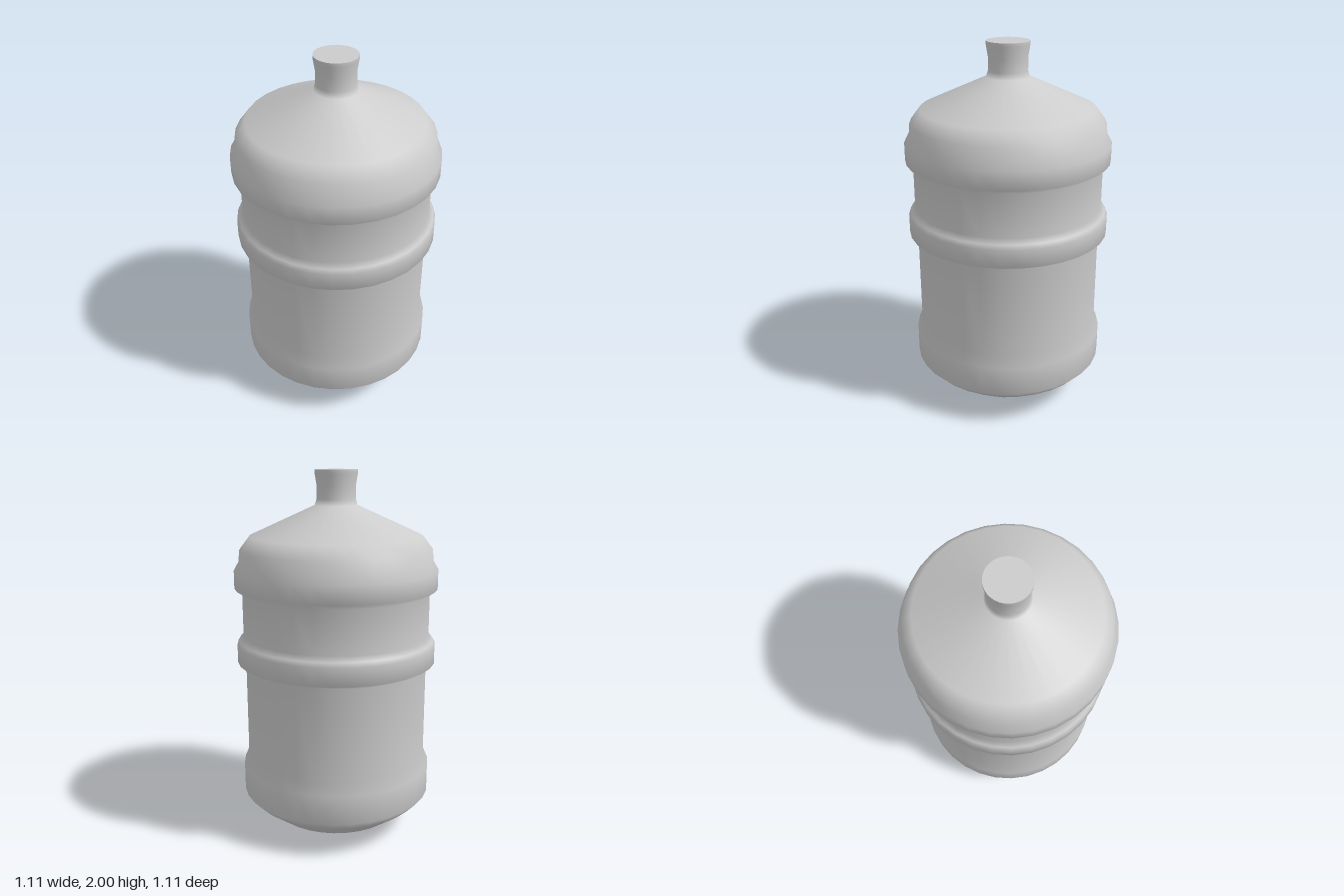
import * as THREE from 'three';

const SIDES = 32;

export function createModel() {
  const group = new THREE.Group();
  const material = new THREE.MeshStandardMaterial({ color: 0xcccccc });

  // Outline [radius, height] from the base up to the mouth
  const outline = [
    [0, 0], [0.18, 0.004], [0.36, 0.063], [0.485, 0.157],  // rounded base
    [0.532, 0.207], [0.532, 0.367], [0.505, 0.43],         // lower band
    [0.505, 0.945], [0.55, 0.968], [0.55, 1.067],          // middle rib
    [0.537, 1.09], [0.515, 1.117], [0.515, 1.352],
    [0.556, 1.378], [0.556, 1.475],                        // upper rib
    [0.53, 1.518], [0.523, 1.583], [0.468, 1.655],         // shoulder
    [0.115, 1.815], [0.105, 1.848], [0.105, 1.92],         // neck
    [0.115, 1.98], [0.115, 2],                             // lip
  ].map(([r, y]) => new THREE.Vector2(r, y));

  const bottle = new THREE.Mesh(new THREE.LatheGeometry(outline, SIDES), material);
  bottle.name = 'bottleBody';
  group.add(bottle);

  // Flat closure over the mouth, separate so its edge stays sharp
  const cap = new THREE.Mesh(new THREE.CircleGeometry(0.115, SIDES), material);
  cap.name = 'mouthCap';
  cap.rotation.x = -Math.PI / 2;
  cap.position.y = 2;
  group.add(cap);

  return group;
}
